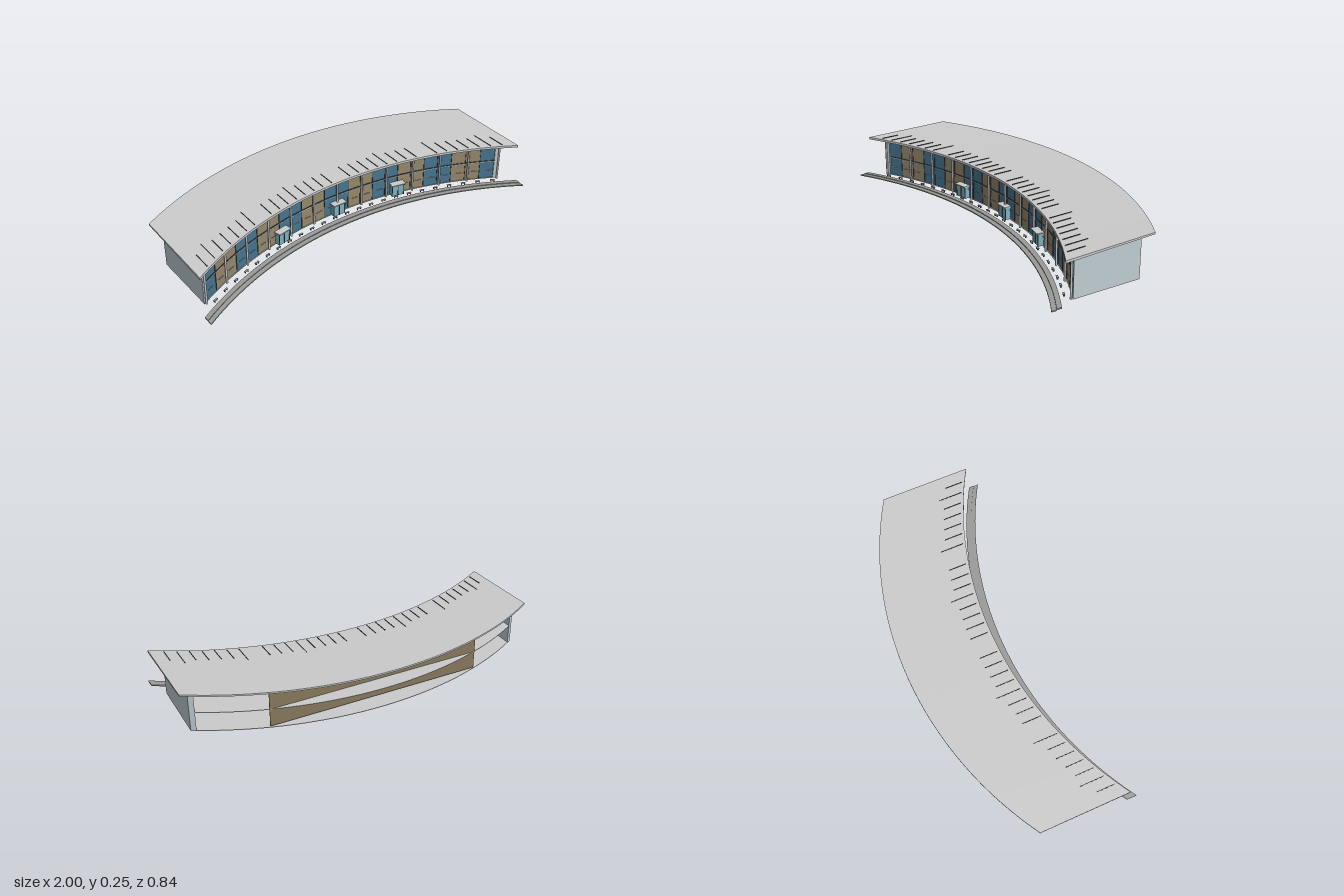
import * as THREE from 'three';

const R = 1.93; // plan radius of the bowed building
const bow = (x) => R - Math.sqrt(R * R - x * x);
const slope = (x) => -Math.asin(x / R);

const mat = (color) => new THREE.MeshStandardMaterial({ color, side: THREE.DoubleSide });
const M = {
  roof: mat(0xcccccc), wall: mat(0xc0cdd2), floor: mat(0xc4c6c6), paving: mat(0x9a9a98),
  blue: mat(0x457590), tan: mat(0x95876c), brown: mat(0x85775c), dark: mat(0x3c4042),
  column: mat(0xd4d8d8), glass: mat(0x7fb0c0),
};

export function createModel() {
  const root = new THREE.Group();

  const add = (name, geo, material, parent = root) => {
    const mesh = new THREE.Mesh(geo, material);
    mesh.name = name;
    parent.add(mesh);
    return mesh;
  };

  // Box whose plan follows the bow; front and back each have their own bottom and top height
  const bowed = (name, material, [x0, x1], [back, front], [b0, b1], [f0, f1] = [b0, b1]) => {
    const n = Math.max(1, Math.round((x1 - x0) * 24));
    const geo = new THREE.BoxGeometry(x1 - x0, 1, 1, n, 1, 1);
    const p = geo.attributes.position;
    for (let i = 0; i < p.count; i++) {
      const x = p.getX(i) + (x0 + x1) / 2;
      const isFront = p.getZ(i) > 0, isTop = p.getY(i) > 0;
      const y = isFront ? (isTop ? f1 : f0) : (isTop ? b1 : b0);
      p.setXYZ(i, x, y, (isFront ? front : back) + bow(x));
    }
    geo.computeVertexNormals();
    return add(name, geo, material);
  };

  // Group standing on the bow at x, turned along it, offset t toward the front
  const station = (name, x, t) => {
    const g = new THREE.Group();
    g.name = name;
    g.position.set(x, 0, bow(x) + t);
    g.rotation.y = slope(x);
    root.add(g);
    return g;
  };
  const box = (name, parent, material, [w, h, d], [x, y, z]) =>
    add(name, new THREE.BoxGeometry(w, h, d), material, parent).position.set(x, y, z);

  // Roof with a gentle rise to the back, and the flat ceiling below it
  bowed('roof', M.roof, [-1, 1], [-0.425, 0.07], [0.237, 0.246], [0.217, 0.23]);
  bowed('ceiling', M.wall, [-0.95, 0.95], [-0.36, 0.018], [0.211, 0.213]);

  // Thin ribs lying on the front part of the roof
  for (let i = -16; i <= 16; i++) {
    if (i % 9 === 0) continue;
    const x = i * 0.0582, long = i % 5 === 0 ? 0.03 : 0;
    bowed('roofRib', M.dark, [x - 0.0015, x + 0.0015], [-0.045 - long, 0.055], [0.228, 0.237], [0.222, 0.234]);
  }

  // Floors, open at the back
  bowed('groundFloor', M.floor, [-0.95, 0.95], [-0.36, 0.02], [0, 0.003]);
  bowed('upperFloor', M.floor, [-0.95, 0.95], [-0.36, 0.018], [0.106, 0.109]);

  // End walls
  for (const s of [-1, 1]) {
    bowed('endWall', M.wall, s > 0 ? [0.925, 0.95] : [-0.95, -0.925], [-0.36, 0.018], [0.002, 0.213]);
  }

  // Straight rear partition
  box('rearPartition', root, M.brown, [1.19, 0.205, 0.003], [0, 0.1125, -0.267]);

  // Front facade: paired blue and tan panels with mullions
  const N = 24, W = 1.86 / N;
  for (let i = 0; i < N; i++) {
    const x = -0.93 + i * W;
    const isBlue = i % 4 === 0 || i % 4 === 3;
    bowed(isBlue ? 'glassPanel' : 'tanPanel', isBlue ? M.blue : M.tan, [x, x + W], [0.011, 0.015], [0.003, 0.213]);
    const m = station('mullion', x, 0.016);
    box('mullionBar', m, M.dark, [0.003, 0.21, 0.004], [0, 0.108, 0]);
  }
  bowed('transom', M.dark, [-0.93, 0.93], [0.013, 0.018], [0.11, 0.115]);
  bowed('headRail', M.dark, [-0.93, 0.93], [0.013, 0.018], [0.207, 0.213]);

  // Columns carrying the roof overhang
  for (let i = -6; i <= 6; i++) {
    const c = station('column', i * 0.1565, 0.028);
    add('columnShaft', new THREE.CylinderGeometry(0.0055, 0.0055, 0.22, 12), M.column, c).position.y = 0.11;
  }

  // Low handrail pieces between the columns
  for (let i = -12; i < 12; i++) {
    const r = station('handrail', (i + 0.5) * 0.078, 0.022);
    box('handrailBar', r, M.column, [0.035, 0.003, 0.003], [0, 0.055, 0]);
  }

  // Entrance porches: glazed box, frame posts, flat canopy
  for (const x of [-0.383, 0, 0.378]) {
    const p = station('entrancePorch', x, 0.015);
    box('porchGlass', p, M.glass, [0.07, 0.068, 0.03], [0, 0.036, 0.015]);
    box('porchCanopy', p, M.column, [0.082, 0.006, 0.042], [0, 0.073, 0.02]);
    for (const px of [-0.035, 0, 0.035]) box('porchPost', p, M.dark, [0.003, 0.07, 0.003], [px, 0.036, 0.031]);
  }

  // Small benches between building and path
  for (let i = -12; i < 12; i++) {
    const b = station('bench', (i + 0.5) * 0.078, 0.06);
    box('benchSeat', b, M.paving, [0.025, 0.003, 0.01], [0, 0.01, 0]);
    for (const s of [-1, 1]) box('benchLeg', b, M.dark, [0.003, 0.009, 0.008], [s * 0.009, 0.0045, 0]);
  }

  // Curved path in two shallow steps
  bowed('upperStep', M.paving, [-1, 1], [0.085, 0.113], [0.005, 0.012]);
  bowed('lowerStep', M.paving, [-1, 1], [0.113, 0.14], [0.002, 0.008]);

  // Reception counter and seat inside
  box('counter', root, M.wall, [0.1, 0.035, 0.054], [0, 0.0195, -0.2]);
  box('counterTop', root, M.dark, [0.1, 0.005, 0.046], [0, 0.0395, -0.2]);
  box('seat', root, M.wall, [0.04, 0.033, 0.016], [0, 0.0185, -0.244]);
  box('seatTop', root, M.dark, [0.04, 0.005, 0.012], [0, 0.0395, -0.244]);

  return root;
}
